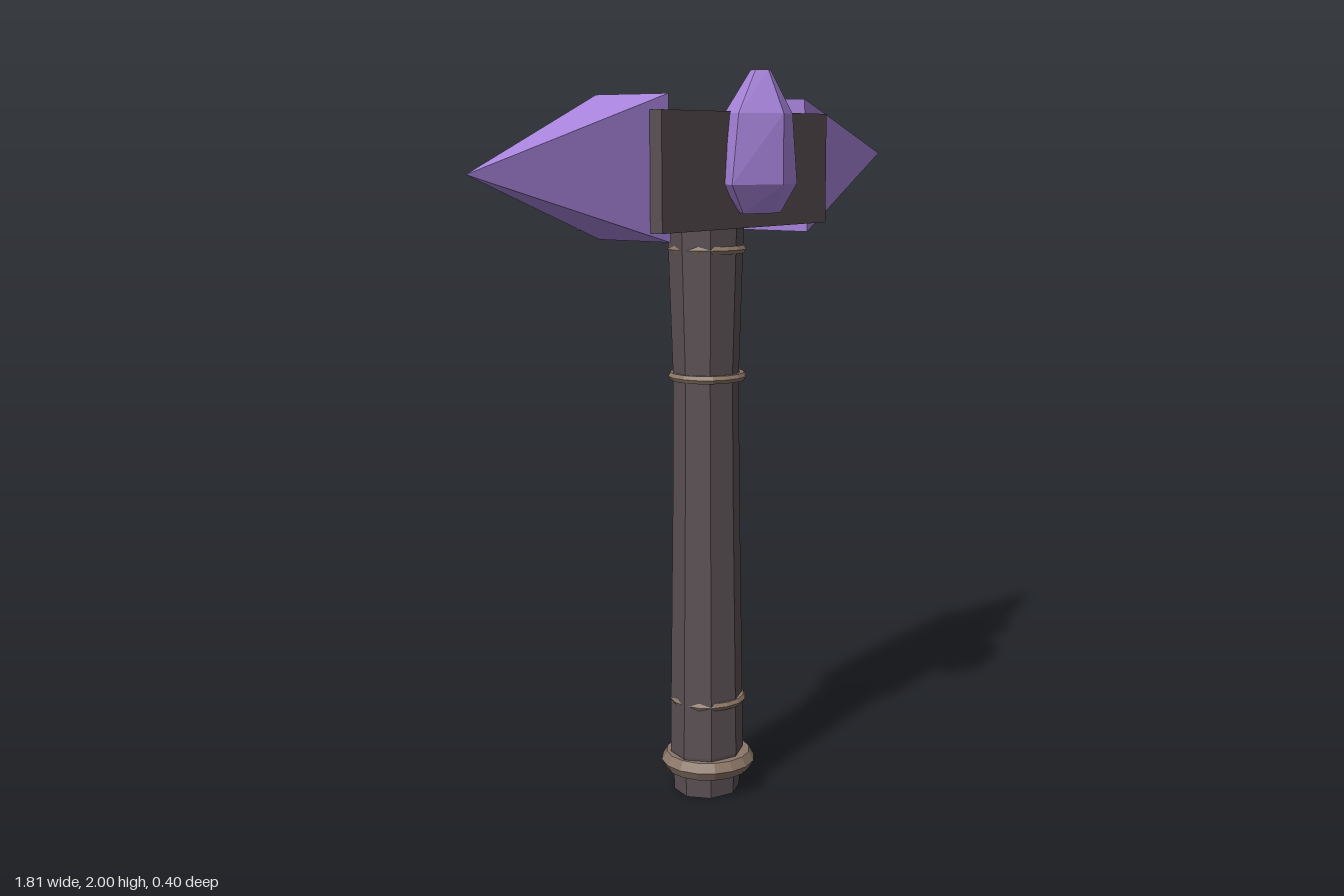
import * as THREE from 'three';
import { ConvexGeometry } from 'three/addons/geometries/ConvexGeometry.js';

const CENTER_Z = -0.06;
const paint = (color) => new THREE.MeshStandardMaterial({ color, flatShading: true });
const wood = paint(0x5a5053);
const bronze = paint(0x8c7768);
const crystal = paint(0xa884dc);

export function createModel() {
  const model = new THREE.Group();
  const add = (name, geometry, material) => {
    const mesh = new THREE.Mesh(geometry, material);
    mesh.name = name;
    model.add(mesh);
    return mesh;
  };

  // Eight-sided handle, narrowest under the upper ring
  const profile = [[0, 0], [0.097, 0], [0.1, 0.07], [0.108, 0.12], [0.106, 0.27],
    [0.097, 0.85], [0.094, 1.19], [0.108, 1.6], [0, 1.62]];
  const handle = add('handle', new THREE.LatheGeometry(
    profile.map(([r, y]) => new THREE.Vector2(r, y)), 8), wood);
  handle.position.set(-0.005, 0, CENTER_Z);
  handle.scale.z = 0.94;

  // Binding rings and the thick pommel ring: height, radius, tube radius
  const rings = [['upperRing', 1.535, 0.096, 0.012], ['gripRing', 1.19, 0.096, 0.012],
    ['lowerRing', 0.27, 0.096, 0.012], ['pommelRing', 0.087, 0.104, 0.029]];
  for (const [name, y, radius, tube] of rings) {
    const ring = add(name, new THREE.TorusGeometry(radius, tube, 6, 16), bronze);
    ring.rotation.x = Math.PI / 2;
    ring.position.set(0, y, CENTER_Z);
  }

  // Head block
  add('head', new THREE.BoxGeometry(0.75, 0.3, 0.28), wood).position.set(0, 1.745, CENTER_Z);

  // Four-sided crystal spikes with slightly skewed bases
  const spike = (name, tipX, tipY, topX, bottomX) => {
    const points = [new THREE.Vector3(tipX, tipY, CENTER_Z)];
    for (const z of [-0.177, 0.055]) {
      points.push(new THREE.Vector3(topX, 1.935, z), new THREE.Vector3(bottomX, 1.57, z));
    }
    add(name, new ConvexGeometry(points), crystal);
  };
  spike('leftSpike', 0.905, 1.785, 0.3, 0.32);
  spike('rightSpike', -0.905, 1.745, -0.315, -0.31);

  // Irregular six-sided gem on the front: outline scaled at each level
  const outline = [[-0.145, 0.01], [-0.015, 0.08], [0.11, 0.04],
    [0.11, -0.04], [0.02, -0.11], [-0.08, -0.075]];
  const levels = [[1.635, 0.6, 0.45], [1.71, 1, 1], [1.89, 0.8, 0.97], [2, 0.22, 0.3]];
  const gemPoints = levels.flatMap(([y, sx, sz]) => outline.map(
    ([x, z]) => new THREE.Vector3(-0.005 + x * sx, y, 0.12 + z * sz)));
  add('frontGem', new ConvexGeometry(gemPoints), crystal);

  return model;
}
